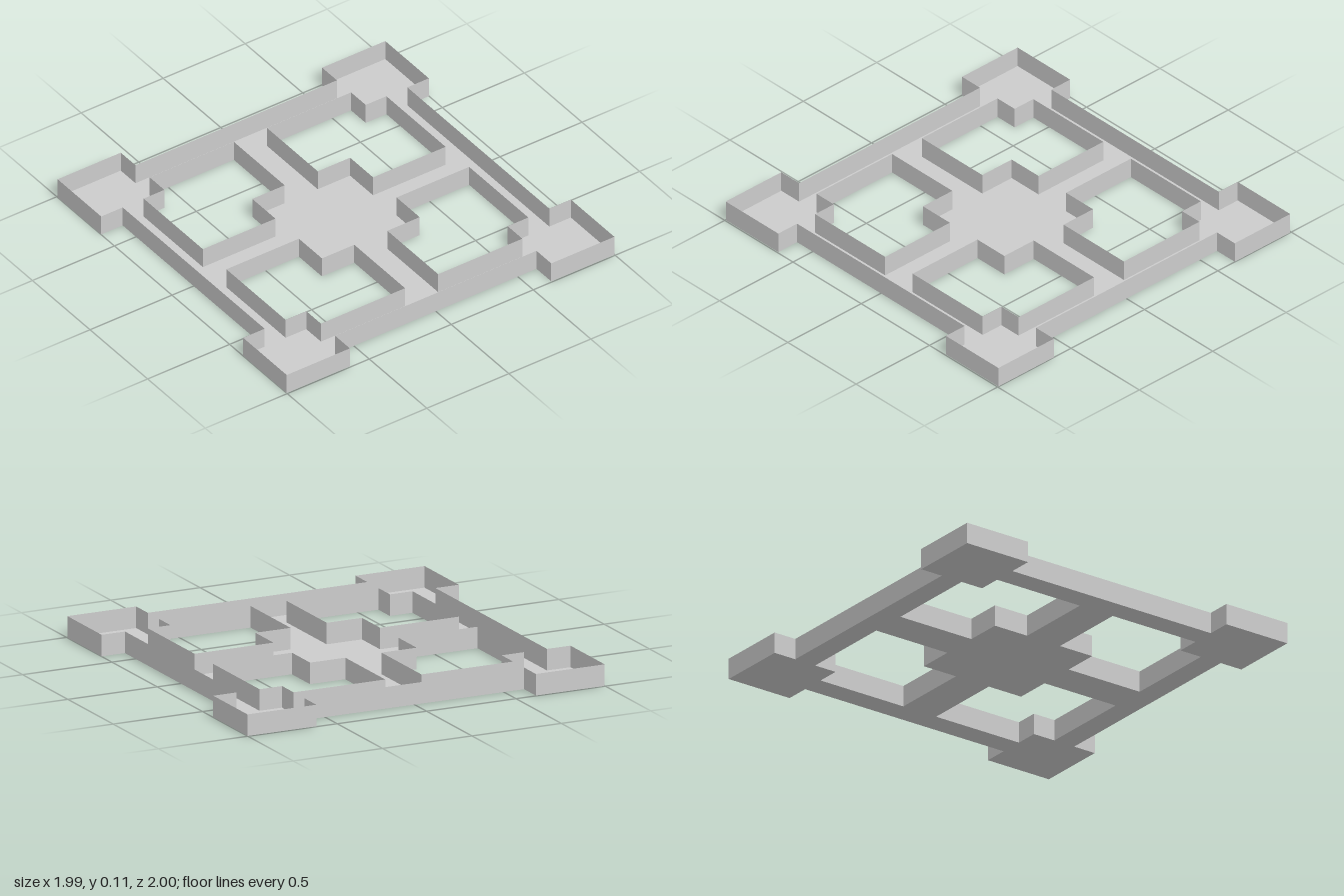
import * as THREE from 'three';
import { mergeGeometries } from 'three/addons/utils/BufferGeometryUtils.js';

const HEIGHT = 0.112;

// One quarter of the plan, as [x, z]
const OUTER = [[0.866, 0.614], [0.994, 0.614], [0.994, 0.999], [0.616, 0.999], [0.616, 0.868]];
const OPENING = [[0.616, 0.74], [0.102, 0.74], [0.102, 0.298], [0.302, 0.298],
  [0.302, 0.101], [0.743, 0.101], [0.743, 0.614], [0.616, 0.614]];
const QUARTERS = [[1, 1], [-1, 1], [-1, -1], [1, -1]];

// Mirror a quarter, keeping its turning direction
function mirror(points, [sx, sz]) {
  const out = points.map(([x, z]) => new THREE.Vector2(x * sx, z * sz));
  return sx * sz < 0 ? out.reverse() : out;
}

// Upright sheets standing along a closed loop
function wallGeometry(loop) {
  return mergeGeometries(loop.map((a, i) => {
    const b = loop[(i + 1) % loop.length];
    const sheet = new THREE.PlaneGeometry(a.distanceTo(b), HEIGHT);
    sheet.rotateY(-Math.atan2(b.y - a.y, b.x - a.x));
    return sheet.translate((a.x + b.x) / 2, HEIGHT / 2, (a.y + b.y) / 2);
  }));
}

export function createModel() {
  const group = new THREE.Group();
  group.name = 'floorPlan';
  const grey = new THREE.MeshStandardMaterial({ color: 0xcccccc, side: THREE.DoubleSide });
  grey.name = 'light grey';

  const add = (name, geometry) => {
    const mesh = new THREE.Mesh(geometry, grey);
    mesh.name = name;
    group.add(mesh);
  };

  const outline = QUARTERS.flatMap((q) => mirror(OUTER, q));
  const openings = QUARTERS.map((q) => mirror(OPENING, q));

  // Floor with four openings; shape y runs towards -z
  const flip = (loop) => loop.map((p) => new THREE.Vector2(p.x, -p.y));
  const shape = new THREE.Shape(flip(outline));
  openings.forEach((o) => shape.holes.push(new THREE.Path(flip(o))));
  add('floor', new THREE.ShapeGeometry(shape).rotateX(-Math.PI / 2));

  // Walls around the outside and around each opening
  add('outerWall', wallGeometry(outline));
  openings.forEach((o, i) => add(`openingWall${i + 1}`, wallGeometry(o)));

  return group;
}
